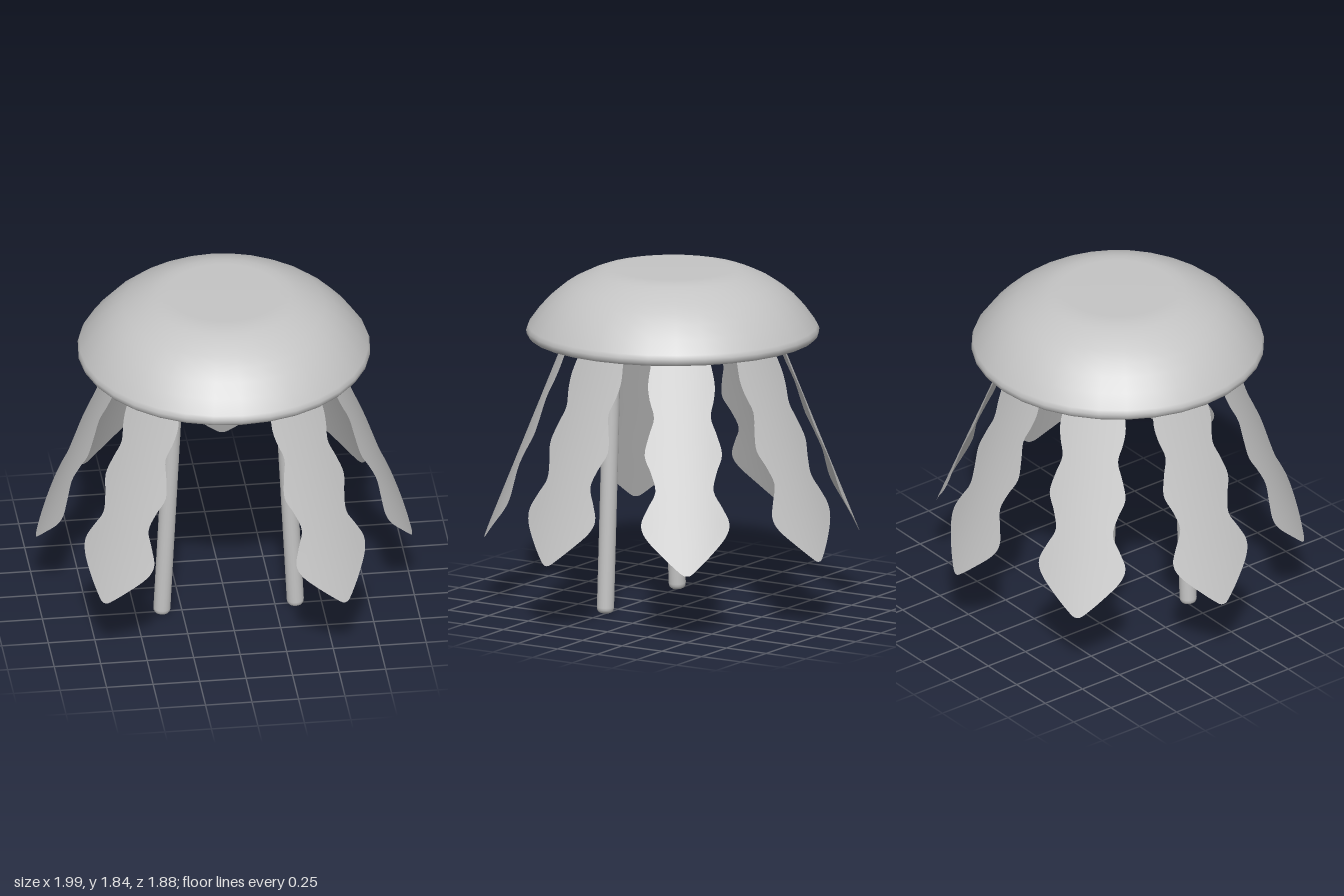
import * as THREE from 'three';

const CENTRE_Z = 0.062;

export function createModel() {
  const model = new THREE.Group();
  const grey = new THREE.MeshStandardMaterial({ color: 0xc4c4c4 });
  grey.name = 'grey';
  const greySheet = grey;
  greySheet.side = THREE.DoubleSide;

  const add = (name, geometry, parent = model) => {
    const mesh = new THREE.Mesh(geometry, grey);
    mesh.name = name;
    parent.add(mesh);
    return mesh;
  };
  const points = (list) => list.map(([x, y]) => new THREE.Vector2(x, y));

  // Hollow bell: inner ceiling, round the rim, up to the flat crown
  const bell = points([
    [0, 1.75], [0.3, 1.745], [0.42, 1.715], [0.52, 1.665], [0.6, 1.6], [0.67, 1.53], [0.7, 1.49],
    [0.72, 1.475], [0.75, 1.47], [0.768, 1.474], [0.781, 1.49], [0.782, 1.51], [0.773, 1.532],
    [0.72, 1.605], [0.66, 1.672], [0.6, 1.723], [0.54, 1.763], [0.47, 1.798], [0.41, 1.822],
    [0.36, 1.834], [0.3, 1.84], [0, 1.84],
  ]);
  add('bell', new THREE.LatheGeometry(bell, 32)).position.z = CENTRE_Z;

  // Wavy tentacle: a thin sheet, gently curved across its width and sloping outwards
  const outline = new THREE.SplineCurve(points([
    [0.006, 0.376], [0.035, 0.39], [0.13, 0.475], [0.215, 0.565], [0.236, 0.635], [0.2, 0.715],
    [0.156, 0.8], [0.175, 0.89], [0.207, 0.98], [0.182, 1.08], [0.152, 1.17],
    [0.172, 1.26], [0.178, 1.34], [0.158, 1.45], [0.145, 1.56], [0.13, 1.73],
  ]));
  const rows = 60;
  const edge = outline.getPoints(rows);
  const sheet = new THREE.PlaneGeometry(1, 1, 8, rows);
  const pos = sheet.attributes.position;
  for (let i = 0; i < pos.count; i++) {
    const { x: halfWidth, y } = edge[Math.round((pos.getY(i) + 0.5) * rows)];
    const w = pos.getX(i) * 2 * halfWidth;
    const r = 1.005 - 0.4 * (y - 0.376) - 0.5 * w * w;
    pos.setXYZ(i, r, y, -w);
  }
  sheet.computeVertexNormals();

  // Seven tentacles round the bell, with a gap at the front
  const tentacles = new THREE.Group();
  tentacles.name = 'tentacles';
  tentacles.position.z = CENTRE_Z;
  model.add(tentacles);
  for (let k = 0; k < 7; k++) {
    const angle = THREE.MathUtils.degToRad(136.6 + 46.7 * k);
    add('tentacle', sheet, tentacles).rotation.y = -angle;
  }

  // Two round-ended legs leaning inwards towards the top
  const length = 1.735;
  const legProfile = points([
    [0, 0], [0.028, 0], [0.038, 0.006], [0.044, 0.016], [0.046, 0.03],
    [0.046, length - 0.03], [0.044, length - 0.016], [0.038, length - 0.006], [0.028, length], [0, length],
  ]);
  const legGeometry = new THREE.LatheGeometry(legProfile, 20);
  for (const side of [-1, 1]) {
    const leg = add(side > 0 ? 'leftLeg' : 'rightLeg', legGeometry);
    leg.position.set(side * 0.36, 0.002, 0.26);
    leg.rotation.z = side * 0.05;
  }

  return model;
}
